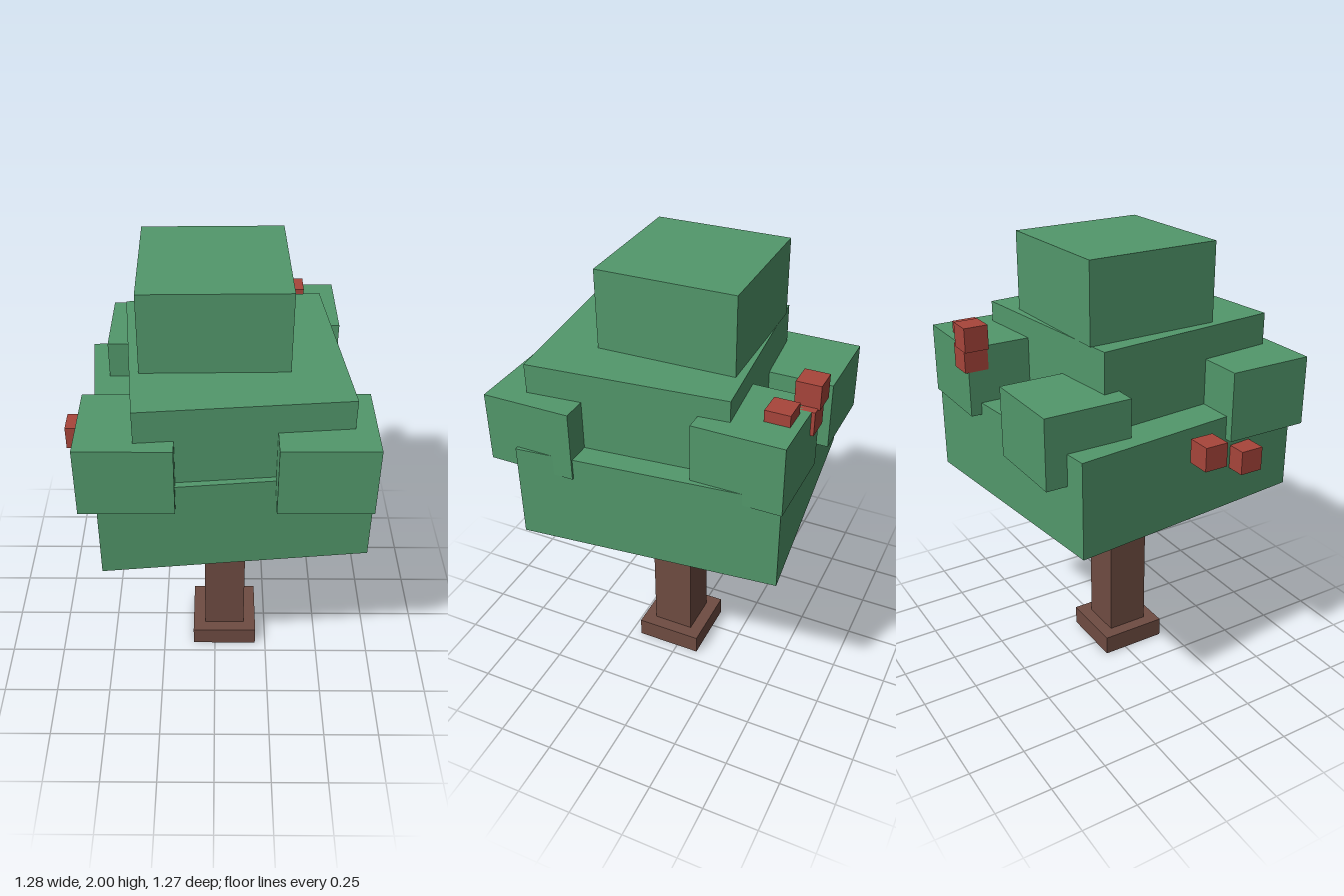
import * as THREE from 'three';

const paint = (name, color) => {
  const m = new THREE.MeshStandardMaterial({ color });
  m.name = name;
  return m;
};

export function createModel() {
  const tree = new THREE.Group();
  tree.name = 'tree';
  const bark = paint('bark brown', 0x6f4c42);
  const leaf = paint('leaf green', 0x52986b);
  const fruit = paint('fruit red', 0xa8453b);

  // Square block standing on height y, turned about the vertical axis
  const block = (name, material, width, height, x, y, z, turn = 0) => {
    const mesh = new THREE.Mesh(new THREE.BoxGeometry(width, height, width), material);
    mesh.name = name;
    mesh.position.set(x, y + height / 2, z);
    mesh.rotation.y = turn;
    tree.add(mesh);
  };

  // Trunk and its foot
  block('trunkFoot', bark, 0.305, 0.09, 0.047, 0, 0.047);
  block('trunk', bark, 0.19, 0.81, 0.047, 0.09, 0.047);

  // Three stacked canopy tiers, each slightly twisted
  block('lowerCanopy', leaf, 1.106, 0.42, 0.033, 0.9, 0.005, 0.104);
  block('middleCanopy', leaf, 0.85, 0.34, 0.075, 1.32, 0.103, 0.095);
  block('upperCanopy', leaf, 0.595, 0.34, -0.005, 1.66, -0.005, 0.02);

  // Leaf clumps on the four corners: x, bottom y, z
  [
    [-0.344, 1.218, 0.43],
    [0.433, 1.23, 0.44],
    [-0.285, 1.183, -0.4],
    [0.351, 1.267, -0.422],
  ].forEach(([x, y, z], i) => block(`leafClump${i + 1}`, leaf, 0.381, 0.303, x, y, z));

  // Fruit cubes: x, bottom y, z
  [
    [-0.588, 1.176, 0.088],
    [-0.526, 1.076, 0.322],
    [0.179, 1.565, -0.583],
    [0.347, 1.515, -0.523],
    [0.212, 1.465, -0.575],
  ].forEach(([x, y, z], i) => block(`fruit${i + 1}`, fruit, 0.105, 0.105, x, y, z));

  return tree;
}
